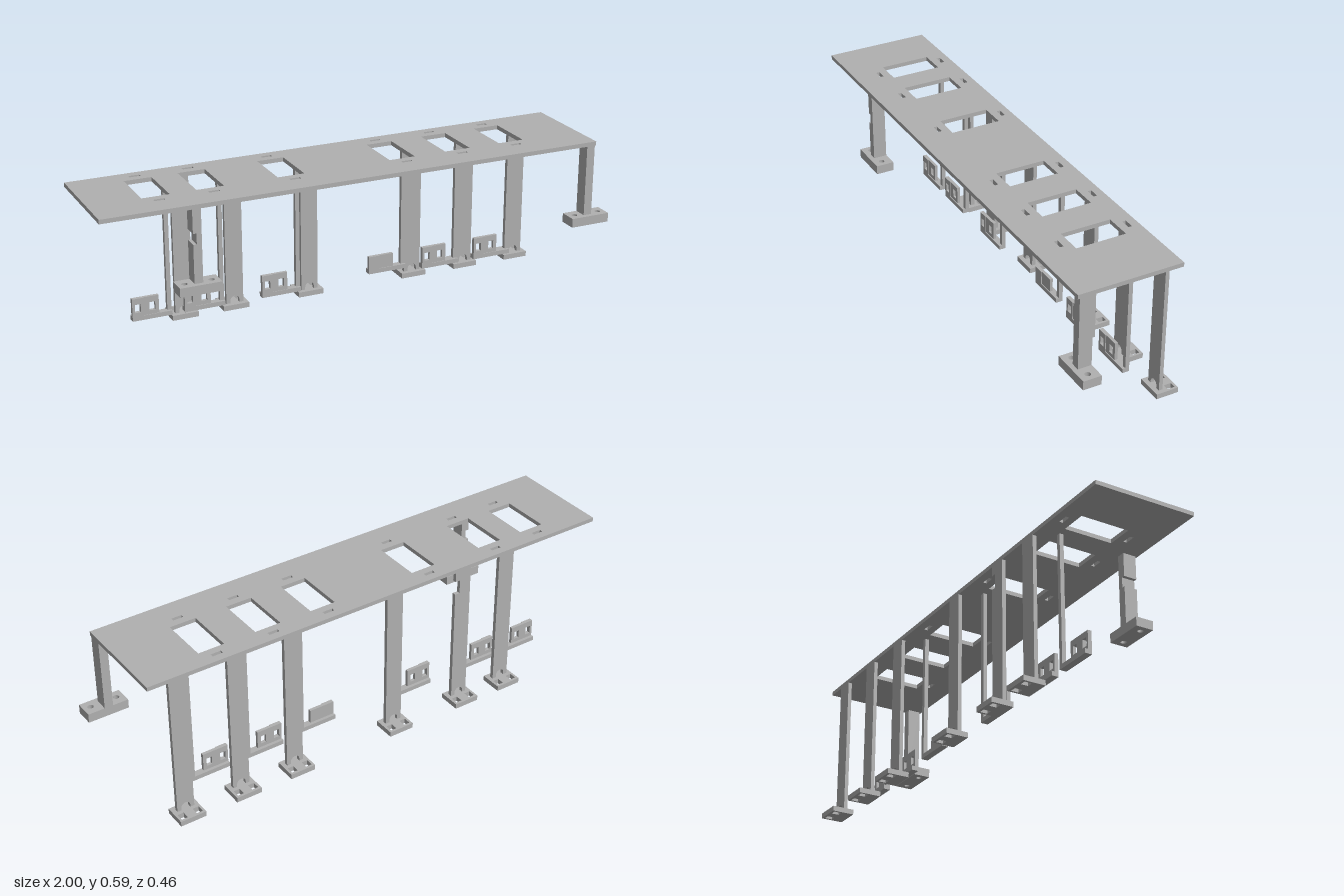
import * as THREE from 'three';

const metal = new THREE.MeshStandardMaterial({ color: 0xb0b0b0 });
metal.name = 'grey metal';

const rect = (x0, x1, y0, y1) => [[x0, y0], [x1, y0], [x1, y1], [x0, y1]];
const points = (list) => list.map(([x, y]) => new THREE.Vector2(x, y));

function extrude(outline, holes, depth) {
  const shape = new THREE.Shape(points(outline));
  for (const h of holes) shape.holes.push(new THREE.Path(points(h)));
  return new THREE.ExtrudeGeometry(shape, { depth, bevelEnabled: false });
}

// Upright sheet drawn in x/y, filling z0..z1
function upright(name, outline, holes, z0, z1) {
  const mesh = new THREE.Mesh(extrude(outline, holes, z1 - z0).translate(0, 0, z0), metal);
  mesh.name = name;
  return mesh;
}

// Flat sheet drawn in x/z, filling y0..y1
function flat(name, outline, holes, y0, y1) {
  const g = extrude(outline, holes, y1 - y0).rotateX(Math.PI / 2).translate(0, y1, 0);
  const mesh = new THREE.Mesh(g, metal);
  mesh.name = name;
  return mesh;
}

function box(name, x0, x1, y0, y1, z0, z1) {
  const g = new THREE.BoxGeometry(x1 - x0, y1 - y0, z1 - z0);
  g.translate((x0 + x1) / 2, (y0 + y1) / 2, (z0 + z1) / 2);
  const mesh = new THREE.Mesh(g, metal);
  mesh.name = name;
  return mesh;
}

function circle(cx, cy, r, n = 20) {
  return Array.from({ length: n }, (_, i) => {
    const a = (i / n) * Math.PI * 2;
    return [cx + r * Math.cos(a), cy + r * Math.sin(a)];
  });
}

export function createModel() {
  const model = new THREE.Group();
  model.name = 'bracketPanel';
  const under = 0.572;

  // Top plate with a window and two slots above each hanger
  const windows = [-0.755, -0.555, -0.25, 0.19, 0.418, 0.645];
  const openings = [];
  for (const x of windows) {
    openings.push(rect(x - 0.051, x + 0.051, -0.104, 0.088));
    for (const z of [-0.14, 0.125]) openings.push(rect(x - 0.02, x + 0.02, z - 0.007, z + 0.007));
  }
  model.add(flat('topPlate', rect(-1, 0.935, -0.178, 0.223), openings, under, 0.588));

  // Rear legs on drilled feet, each with an arch at the base
  [-0.58, -0.378, -0.072, 0.366, 0.594, 0.822].forEach((x, i) => {
    const leg = new THREE.Group();
    leg.name = 'rearLeg';
    const arch = [];
    for (let k = 0; k <= 12; k++) {
      const a = Math.PI * (1 - k / 12);
      arch.push([x + 0.018 * Math.cos(a), 0.03 + 0.018 * Math.sin(a)]);
    }
    const r = x + 0.034;
    const notch = i === 1 ? [[r, 0.48], [r - 0.02, 0.48], [r - 0.02, 0.535], [r, 0.535]] : [];
    const outline = [
      [x - 0.034, 0.02], [x - 0.018, 0.02], ...arch, [x + 0.018, 0.02], [r, 0.02],
      ...notch, [r, under], [x - 0.034, under],
    ];
    leg.add(upright('legStrip', outline, [], -0.178, -0.163));
    const holes = [-0.03, 0.03].map((d) => rect(x + d - 0.012, x + d + 0.012, -0.222, -0.193));
    leg.add(flat('legFoot', rect(x - 0.051, x + 0.051, -0.232, -0.145), holes, 0, 0.02));
    model.add(leg);
  });

  // Thin hangers ending in a drilled tab below each window
  const stems = [-0.662, -0.457, -0.152, 0.286, 0.516, 0.746];
  windows.forEach((x, i) => {
    const hanger = new THREE.Group();
    hanger.name = 'hanger';
    const y = i === 3 ? 0.075 : 0.058;
    const right = stems[i] + 0.008;
    hanger.add(box('hangerStem', right - 0.016, right, y, under, -0.104, -0.088));
    hanger.add(box('hangerBar', x - 0.051, right, y, y + 0.017, -0.104, -0.077));
    const seam = x - 0.008;
    const low = y + 0.017;
    const hole = (c) => rect(c - 0.011, c + 0.011, 0.09, 0.122);
    hanger.add(upright('tabThick', rect(x - 0.051, seam, low, 0.145), [hole(x - 0.03)], -0.092, -0.077));
    hanger.add(upright('tabThin', rect(seam, x + 0.051, low, 0.145), [hole(x + 0.026)], -0.092, -0.08));
    model.add(hanger);
  });

  // Front posts with heavy drilled feet
  for (const [x0, x1, f0, f1, notched] of [[-0.67, -0.638, -0.73, -0.574, true], [0.902, 0.935, 0.842, 1, false]]) {
    const post = new THREE.Group();
    post.name = 'frontPost';
    const notch = notched ? [[x0, 0.48], [x0 + 0.013, 0.48], [x0 + 0.013, 0.44], [x0, 0.44]] : [];
    const outline = [[x0, 0.295], [x1, 0.295], [x1, under], [x0, under], ...notch];
    post.add(upright('postColumn', outline, [], 0.163, 0.215));
    const holes = [f0 + 0.028, f1 - 0.028].map((c) => circle(c, 0.2, 0.011));
    post.add(flat('postFoot', rect(f0, f1, 0.163, 0.233), holes, 0.26, 0.295));
    model.add(post);
  }
  return model;
}
